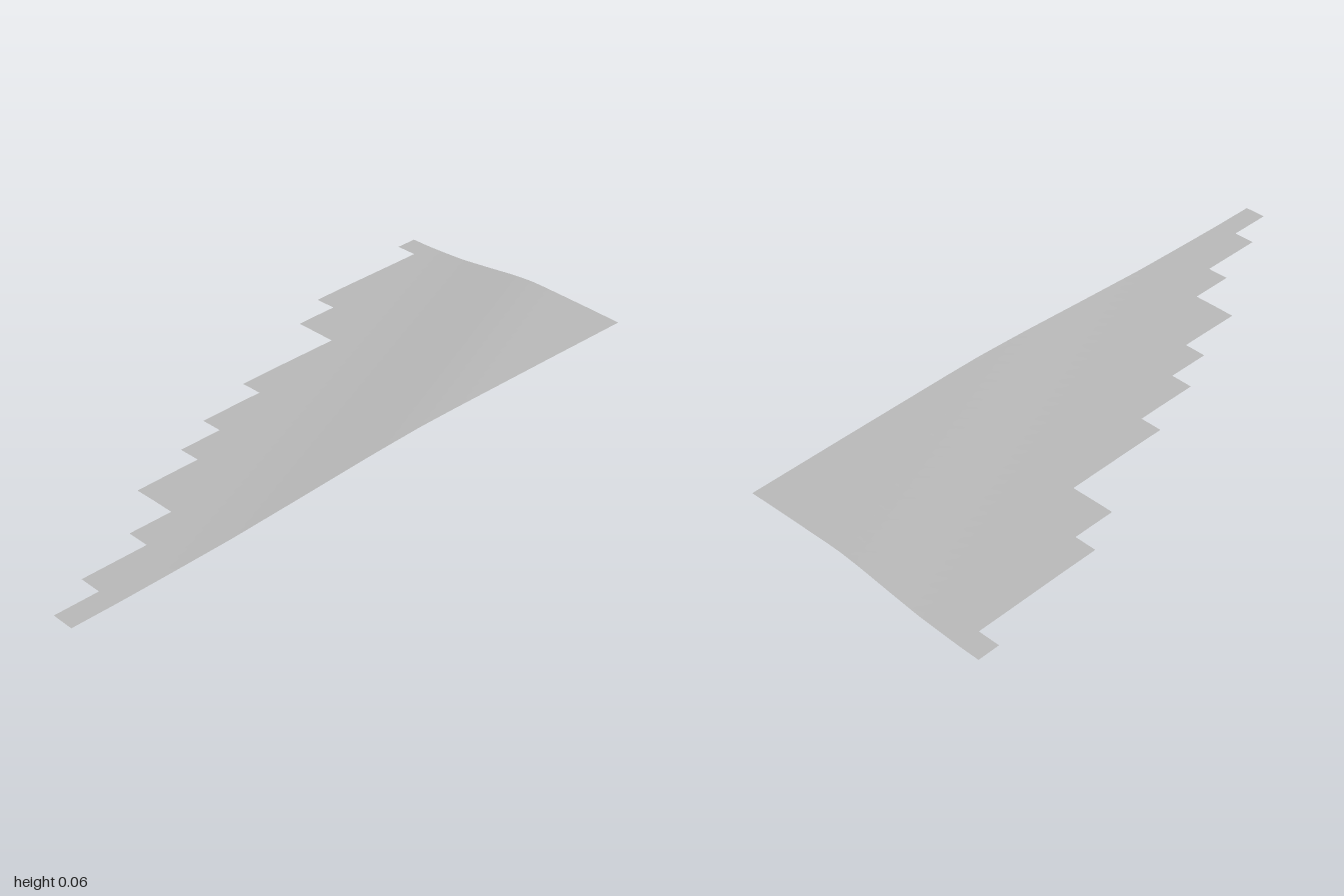
import * as THREE from 'three';

const COLS = 12, ROWS = 29, CELL = 2 / ROWS, SUB = 4;
const HALF_X = (COLS * CELL) / 2;

// Stepped outline: [first column, row where the step ends]
const STEPS = [[0, 1], [1, 7], [2, 9], [4, 14], [5, 17], [6, 19], [7, 22], [9, 24], [10, 27], [11, 29]];

// Height profile across the slope: [distance from the diagonal, height]
const PROFILE = [
  [-0.14, 0], [-0.08, 0.003], [0, 0.005], [0.06, 0.007], [0.13, 0.012], [0.21, 0.019], [0.31, 0.034],
  [0.41, 0.05], [0.45, 0.055], [0.49, 0.0595], [0.54, 0.061], [0.7, 0.0622], [2, 0.0622],
];

function height(x, z) {
  const s = x - HALF_X * z;
  if (s <= PROFILE[0][0]) return PROFILE[0][1];
  for (let i = 1; i < PROFILE.length; i++) {
    const [a, ha] = PROFILE[i - 1], [b, hb] = PROFILE[i];
    if (s <= b) return THREE.MathUtils.mapLinear(s, a, b, ha, hb);
  }
  return PROFILE[PROFILE.length - 1][1];
}

export function createModel() {
  const group = new THREE.Group();
  group.name = 'terrainTile';

  const stone = new THREE.MeshStandardMaterial({ color: 0xb8b8b8, side: THREE.DoubleSide });
  stone.name = 'light grey';

  // Fine grid of points over the whole rectangle
  const nx = COLS * SUB, nz = ROWS * SUB;
  const positions = [], index = [];
  for (let j = 0; j <= nz; j++) {
    for (let i = 0; i <= nx; i++) {
      const x = -HALF_X + (i * CELL) / SUB, z = -1 + (j * CELL) / SUB;
      positions.push(x, height(x, z), z);
    }
  }

  // Faces only inside the stepped outline
  for (let j = 0; j < nz; j++) {
    const first = STEPS.find(([, end]) => j < end * SUB)[0] * SUB;
    for (let i = first; i < nx; i++) {
      const a = j * (nx + 1) + i, b = a + nx + 1;
      index.push(a, b, a + 1, b, b + 1, a + 1);
    }
  }

  const geometry = new THREE.BufferGeometry();
  geometry.setAttribute('position', new THREE.Float32BufferAttribute(positions, 3));
  geometry.setIndex(index);
  geometry.computeVertexNormals();

  const surface = new THREE.Mesh(geometry, stone);
  surface.name = 'slopedSurface';
  group.add(surface);
  return group;
}
